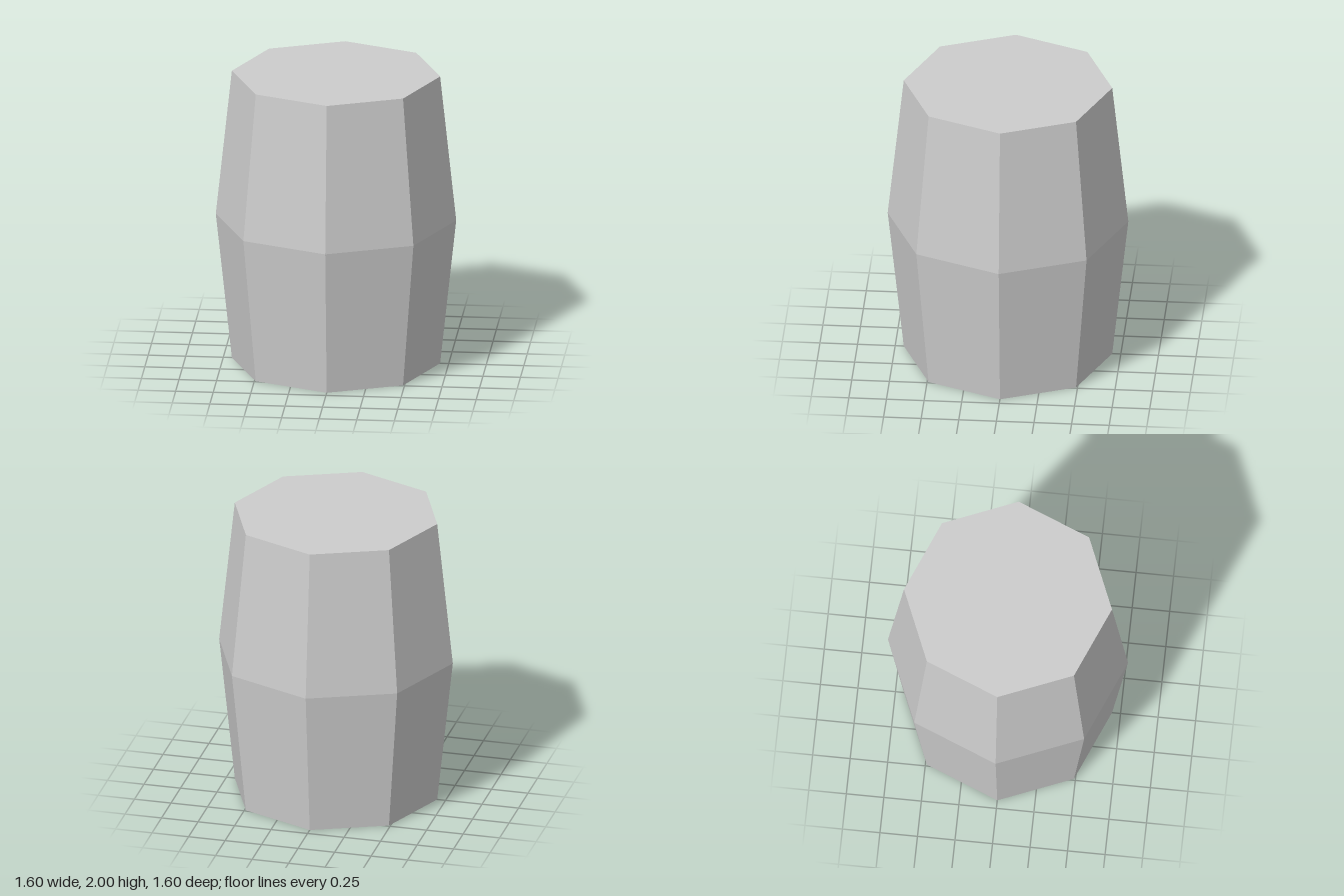
import * as THREE from 'three';

const SIDES = 8;
const RIM = 0.693;    // radius at both ends
const BELLY = 0.8;    // radius at mid height
const HEIGHT = 2;

export function createModel() {
  const grey = new THREE.MeshStandardMaterial({ color: 0xcccccc, flatShading: true, side: THREE.DoubleSide });
  grey.name = 'grey';

  const barrel = new THREE.Group();
  barrel.name = 'barrel';

  // Bulging eight-sided wall, open at the bottom
  const profile = [[RIM, 0], [BELLY, HEIGHT / 2], [RIM, HEIGHT]].map(([r, y]) => new THREE.Vector2(r, y));
  const wallGeometry = new THREE.LatheGeometry(profile, SIDES).toNonIndexed();
  wallGeometry.computeVertexNormals();
  const wall = new THREE.Mesh(wallGeometry, grey);
  wall.name = 'wall';
  barrel.add(wall);

  // Flat lid closing the top
  const lid = new THREE.Mesh(new THREE.CircleGeometry(RIM, SIDES).rotateX(-Math.PI / 2), grey);
  lid.name = 'lid';
  lid.position.y = HEIGHT;
  barrel.add(lid);

  return barrel;
}
